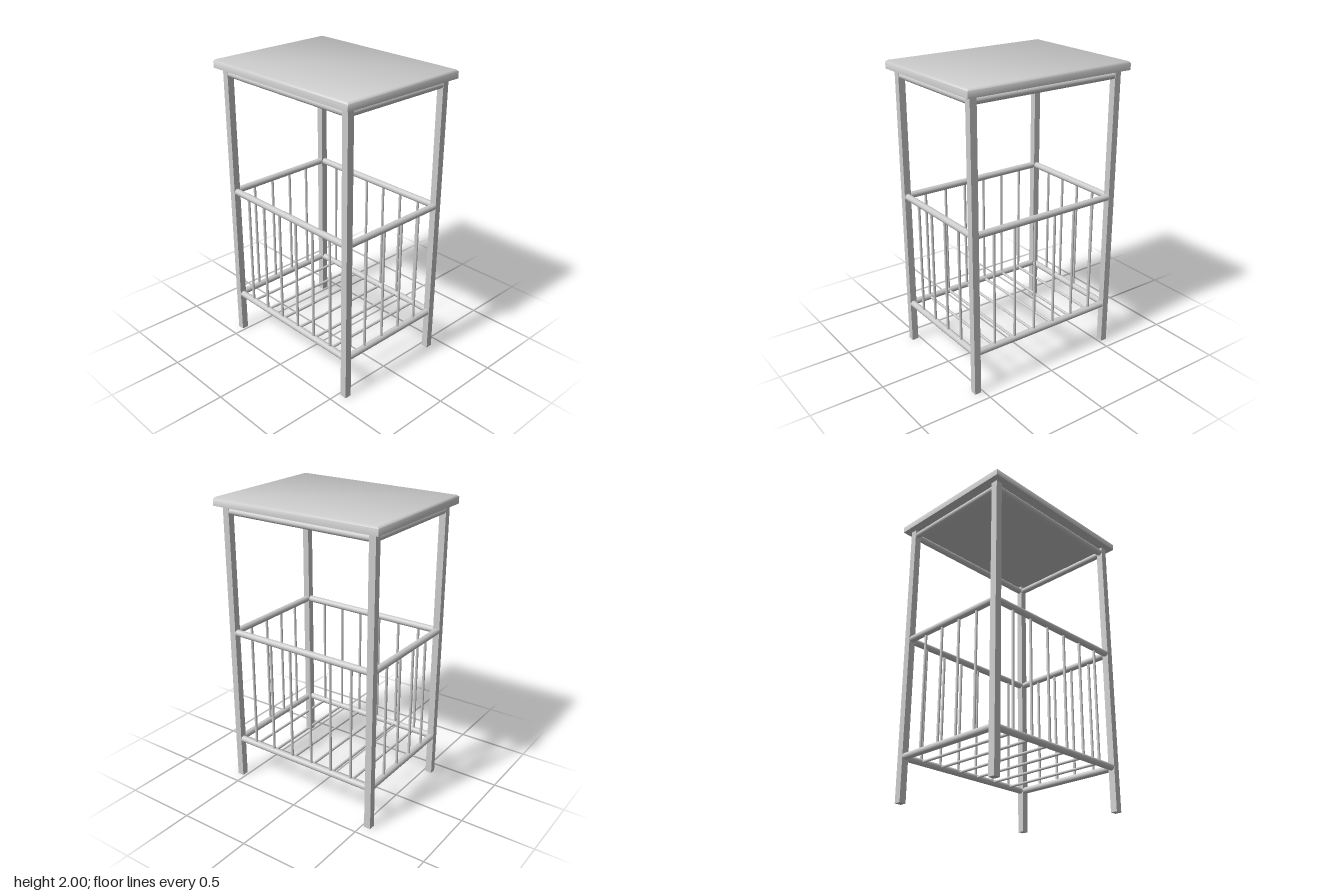
import * as THREE from 'three';
import { mergeVertices, toCreasedNormals } from 'three/addons/utils/BufferGeometryUtils.js';

const grey = new THREE.MeshStandardMaterial({ color: 0xcccccc });
const LEG_X = 0.54, LEG_Z = 0.4, LEG = 0.046;
const TOP_Y = 1.945, RAIL_R = 0.022, BAR_R = 0.009;
const LOW_Y = 0.29, MID_Y = 1.095, HIGH_Y = 1.91, STEP = 0.157;

export function createModel() {
  const model = new THREE.Group();
  model.name = 'sideTable';

  const add = (name, geometry, x, y, z) => {
    const mesh = new THREE.Mesh(geometry, grey);
    mesh.name = name;
    mesh.position.set(x, y, z);
    model.add(mesh);
  };
  // Round rod centred on a point, running along one axis
  const rod = (name, axis, radius, length, sides, x, y, z) => {
    const g = new THREE.CylinderGeometry(radius, radius, length, sides);
    if (axis === 'x') g.rotateZ(Math.PI / 2);
    if (axis === 'z') g.rotateX(Math.PI / 2);
    add(name, g, x, y, z);
  };
  // Evenly spaced positions about zero
  const spread = (n) => Array.from({ length: n }, (_, i) => (i - (n - 1) / 2) * STEP);

  // Table top with a small chamfer round its upper edge
  const bevel = 0.012, height = 2 - TOP_Y;
  let top = new THREE.BoxGeometry(1.206, height, 0.93, 1, 2, 1);
  const p = top.attributes.position;
  for (let i = 0; i < p.count; i++) {
    const y = p.getY(i);
    if (y > height / 4) {
      p.setX(i, p.getX(i) - Math.sign(p.getX(i)) * bevel);
      p.setZ(i, p.getZ(i) - Math.sign(p.getZ(i)) * bevel);
    } else if (y > -height / 4) p.setY(i, height / 2 - bevel);
  }
  // The top face's own corners stay joined to the chamfer for a soft edge
  top.deleteAttribute('uv');
  top.deleteAttribute('normal');
  top = toCreasedNormals(mergeVertices(top), Math.PI / 3);
  add('tableTop', top, 0, TOP_Y + height / 2, 0);

  // Square legs
  for (const sx of [-1, 1])
    for (const sz of [-1, 1])
      add('leg', new THREE.BoxGeometry(LEG, TOP_Y, LEG), sx * LEG_X, TOP_Y / 2, sz * LEG_Z);

  // Three rings of round rails between the legs
  for (const y of [LOW_Y, MID_Y, HIGH_Y])
    for (const s of [-1, 1]) {
      rod('longRail', 'x', RAIL_R, 2 * LEG_X - LEG, 16, 0, y, s * LEG_Z);
      rod('sideRail', 'z', RAIL_R, 2 * LEG_Z - LEG, 16, s * LEG_X, y, 0);
    }

  // Upright basket bars on all four sides
  const barY = (LOW_Y + MID_Y) / 2, barH = MID_Y - LOW_Y;
  for (const s of [-1, 1]) {
    for (const x of spread(6)) rod('basketBar', 'y', BAR_R, barH, 10, x, barY, s * LEG_Z);
    for (const z of spread(4)) rod('sideBasketBar', 'y', BAR_R, barH, 10, s * LEG_X, barY, z);
  }

  // Basket floor bars, front to back
  for (const x of spread(6)) rod('floorBar', 'z', BAR_R, 2 * LEG_Z, 10, x, LOW_Y, 0);

  return model;
}
